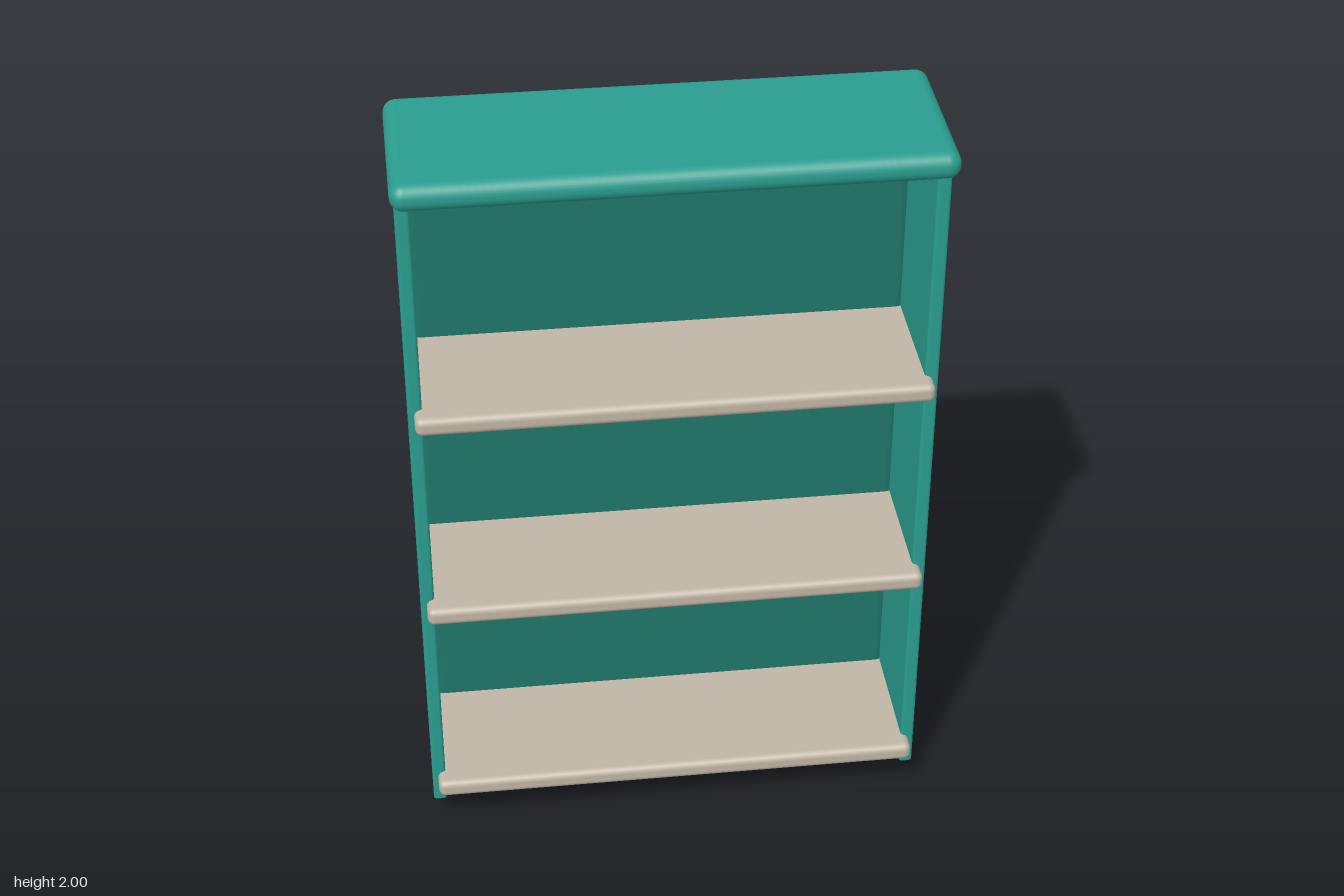
import * as THREE from 'three';
import { RoundedBoxGeometry } from 'three/addons/geometries/RoundedBoxGeometry.js';

export function createModel() {
  const model = new THREE.Group();
  model.name = 'bookcase';

  const frameTeal = new THREE.MeshStandardMaterial({ name: 'frame teal', color: 0x2a9d8f });
  const backTeal = new THREE.MeshStandardMaterial({ name: 'dark back teal', color: 0x20756b });
  const shelfBeige = new THREE.MeshStandardMaterial({ name: 'shelf beige', color: 0xc0b5a5 });

  // A board with rounded edges, given by its extents on each axis
  function board(name, material, [x0, x1], [y0, y1], [z0, z1], radius) {
    const geometry = new RoundedBoxGeometry(x1 - x0, y1 - y0, z1 - z0, 4, radius);
    const mesh = new THREE.Mesh(geometry, material);
    mesh.name = name;
    mesh.position.set((x0 + x1) / 2, (y0 + y1) / 2, (z0 + z1) / 2);
    model.add(mesh);
  }

  // Overhanging top
  board('top', frameTeal, [-0.665, 0.665], [1.93, 2], [-0.23, 0.23], 0.033);

  // Side panels
  board('leftSide', frameTeal, [0.62, 0.655], [0.07, 1.945], [-0.21, 0.168], 0.008);
  board('rightSide', frameTeal, [-0.655, -0.62], [0.07, 1.945], [-0.21, 0.168], 0.008);

  // Thick back panel, reaching the floor
  board('back', backTeal, [-0.64, 0.64], [0, 1.93], [-0.228, -0.153], 0.035);

  // Shelves, standing out at the front
  for (const [i, y] of [0.145, 0.735, 1.325].entries()) {
    board(`shelf${i + 1}`, shelfBeige, [-0.64, 0.64], [y - 0.025, y + 0.025], [-0.19, 0.218], 0.018);
  }

  return model;
}
